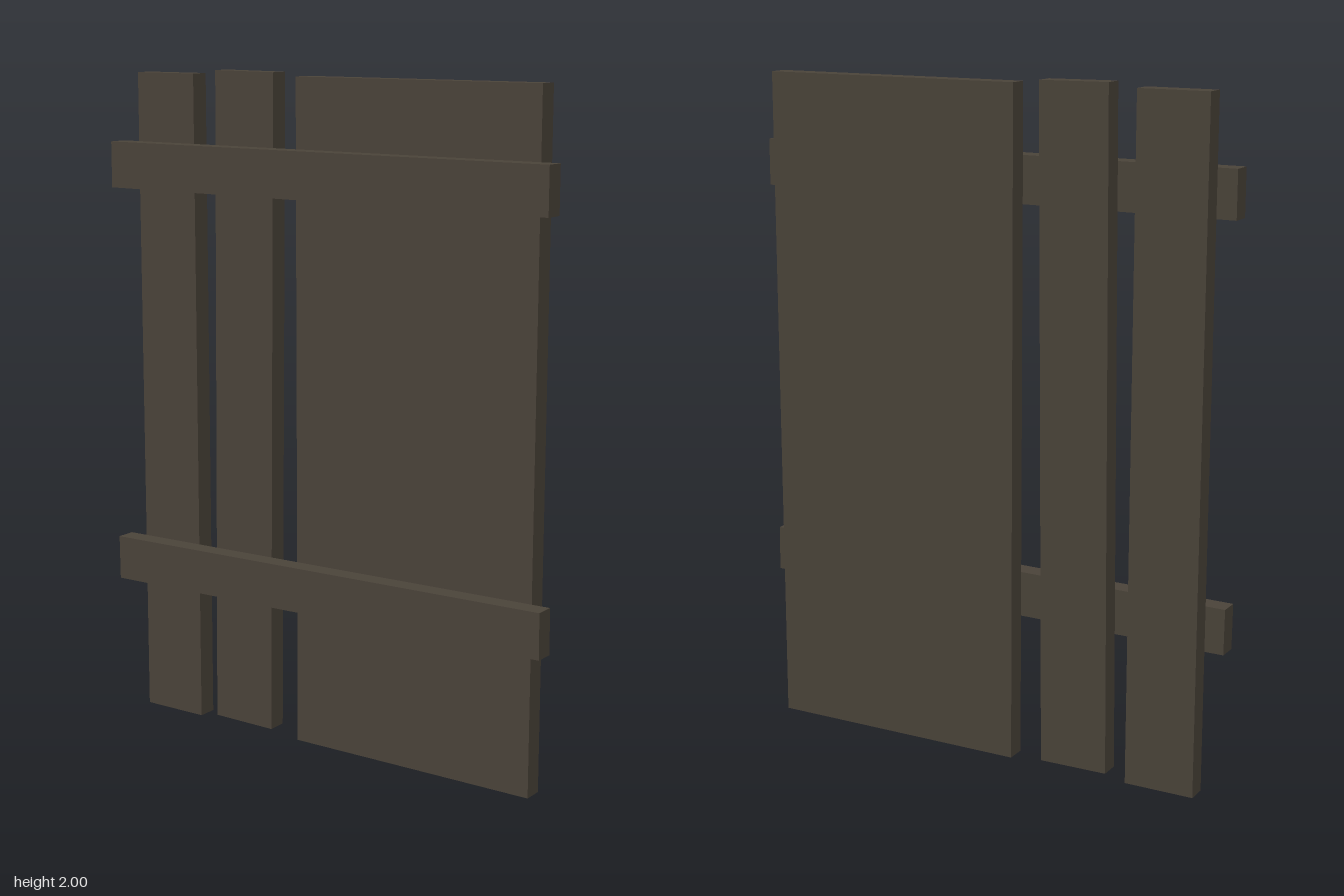
import * as THREE from 'three';

export function createModel() {
  const group = new THREE.Group();
  const wood = new THREE.MeshStandardMaterial({ color: 0x4a4339 });
  wood.name = 'dark weathered wood';

  // One flat board, optionally tilted in its own plane
  function board(name, width, height, x, y, z, tilt = 0) {
    const mesh = new THREE.Mesh(new THREE.BoxGeometry(width, height, 0.059), wood);
    mesh.name = name;
    mesh.position.set(x, y, z);
    mesh.rotation.z = tilt;
    group.add(mesh);
  }

  // Upright planks at the back
  const back = -0.032;
  board('narrowPlank', 0.212, 1.988, -0.589, 0.994, back);
  board('crookedPlank', 0.21, 1.985, -0.305, 1.0065, back, -0.01);
  board('widePlank', 0.8, 1.988, 0.29, 0.994, back);

  // Cross rails at the front, the lower one slightly askew
  const front = 0.032;
  board('upperRail', 1.502, 0.138, 0, 1.714, front);
  board('lowerRail', 1.502, 0.135, 0, 0.495, front, 0.011);

  return group;
}
